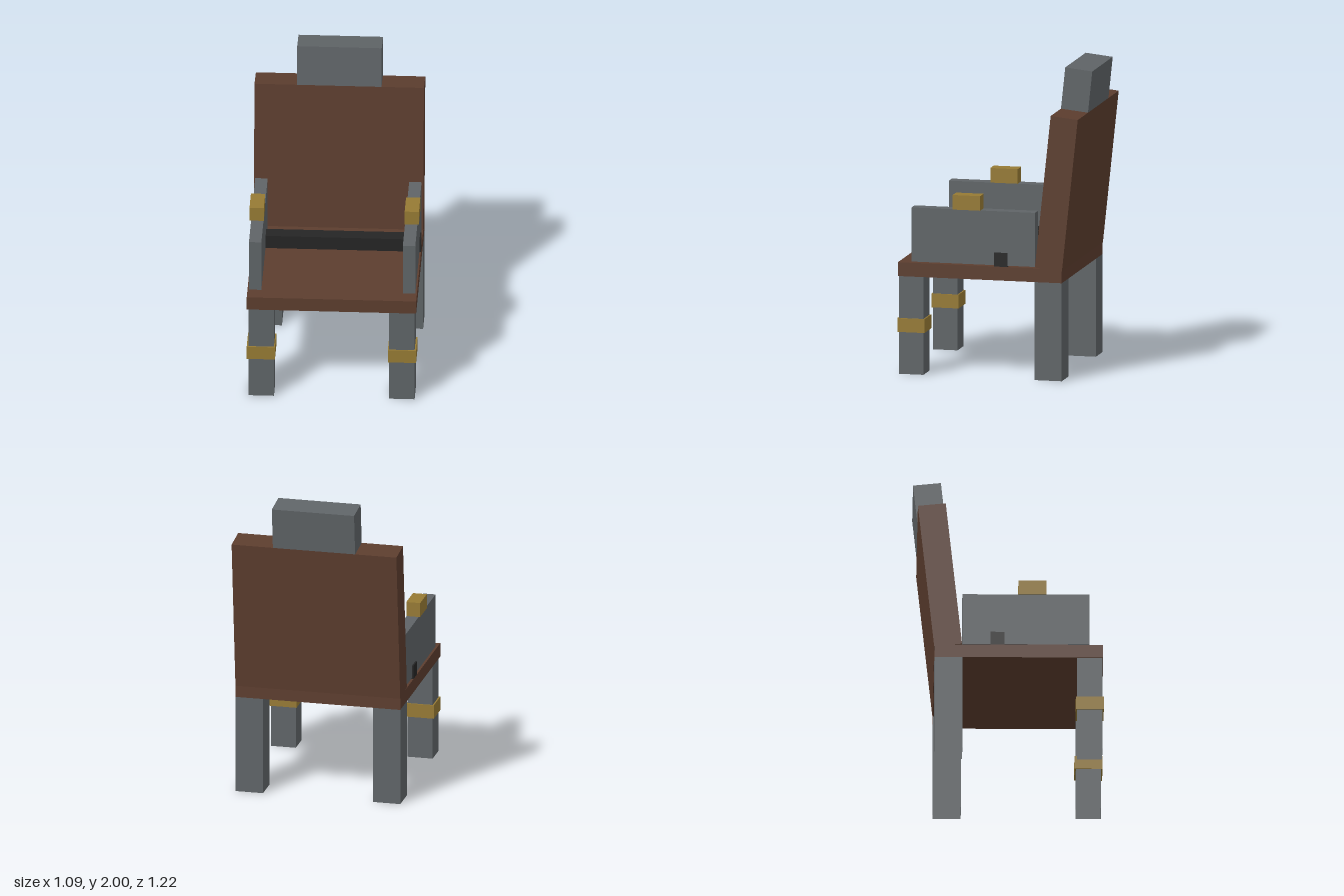
import * as THREE from 'three';

export function createModel() {
  const model = new THREE.Group();
  model.name = 'armchair';

  const material = (name, color, side = THREE.FrontSide) => {
    const m = new THREE.MeshStandardMaterial({ color, side });
    m.name = name;
    return m;
  };
  const brown = material('brown leather', 0x5c3d2e);
  const grey = material('grey metal', 0x5f6467, THREE.DoubleSide);
  const gold = material('gold brass', 0x967a34);
  const black = material('black rubber', 0x252525);

  // Box given by its extents along each axis
  function box(name, mat, [x0, x1], [y0, y1], [z0, z1], parent = model) {
    const geometry = new THREE.BoxGeometry(x1 - x0, y1 - y0, z1 - z0);
    const mesh = new THREE.Mesh(geometry, mat);
    mesh.position.set((x0 + x1) / 2, (y0 + y1) / 2, (z0 + z1) / 2);
    mesh.name = name;
    parent.add(mesh);
    return mesh;
  }

  // Hollow leg: a box without its bottom face
  function leg(name, x, y, z) {
    const mesh = box(name, grey, x, y, z);
    const index = Array.from(mesh.geometry.index.array);
    index.splice(18, 6);
    mesh.geometry.setIndex(index);
    mesh.geometry.clearGroups();
  }

  // Seat and the bar lying across it
  box('seat', brown, [-0.545, 0.545], [0.64, 0.73], [-0.475, 0.61]);
  box('seatBar', black, [-0.545, 0.545], [0.73, 0.82], [-0.115, -0.025]);

  // Reclined back with headrest, hinged at its lower front edge
  const back = new THREE.Group();
  back.name = 'back';
  back.position.set(0, 0.735, -0.297);
  back.rotation.x = -0.105;
  model.add(back);
  box('backrest', brown, [-0.545, 0.545], [0, 1], [-0.18, 0], back);
  box('headrest', grey, [-0.272, 0.272], [1, 1.272], [-0.18, 0], back);

  // Parts mirrored on both sides
  for (const [side, s] of [['left', 1], ['right', -1]]) {
    const span = (a, b) => (s > 0 ? [a, b] : [-b, -a]);
    box(side + 'Armrest', grey, span(0.455, 0.535), [0.737, 1.09], [-0.295, 0.522]);
    box(side + 'ArmKnob', gold, span(0.453, 0.545), [1.09, 1.185], [0.065, 0.247]);
    leg(side + 'FrontLeg', span(0.37, 0.535), [0, 0.64], [0.443, 0.605]);
    box(side + 'LegBand', gold, span(0.363, 0.545), [0.275, 0.365], [0.434, 0.614]);
    leg(side + 'BackLeg', span(0.363, 0.545), [0, 0.64], [-0.475, -0.295]);
  }

  return model;
}
